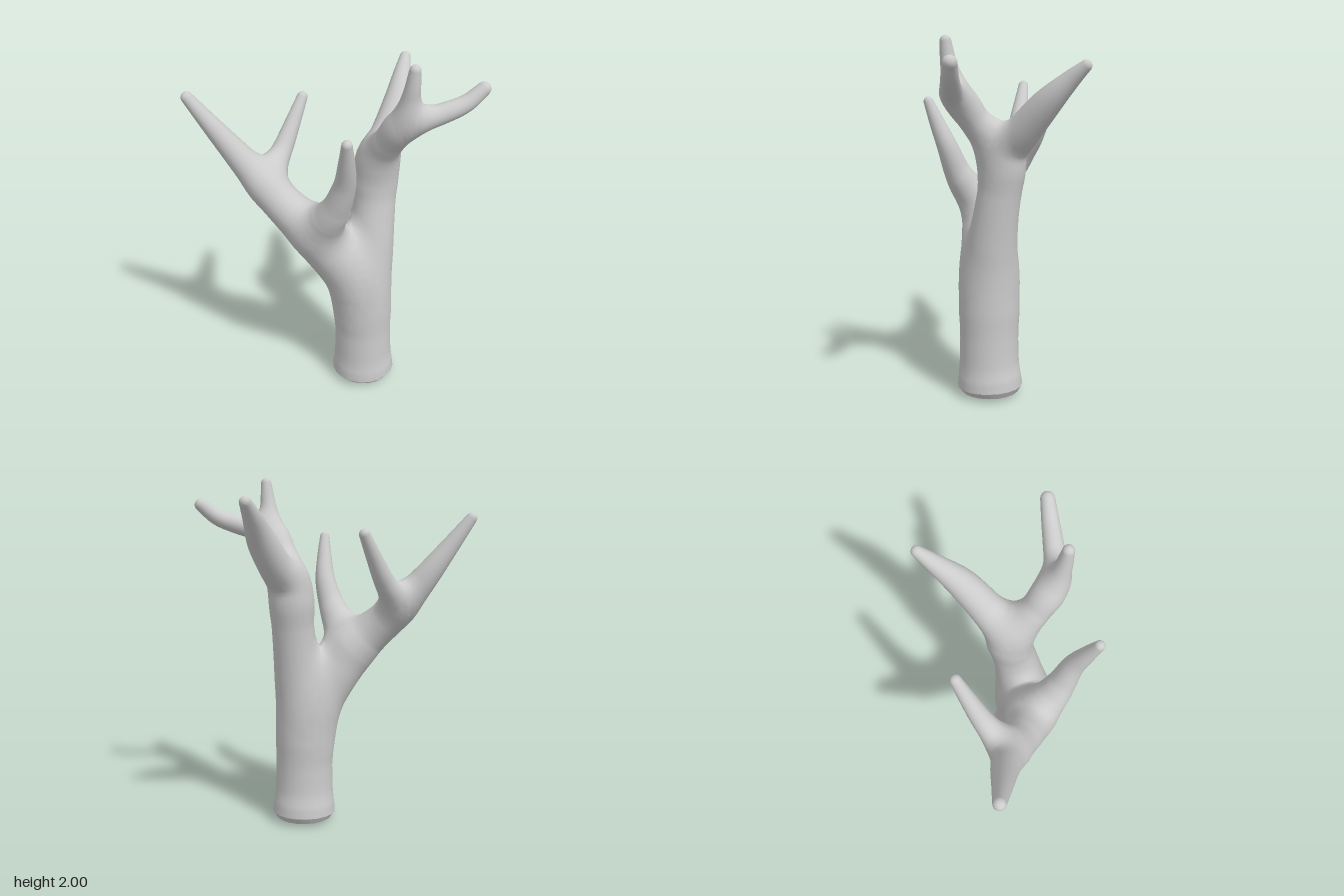
import * as THREE from 'three';
import { toCreasedNormals } from 'three/addons/utils/BufferGeometryUtils.js';

const SIDES = 20, RINGS = 44, BLEND = 0.11;

// Each limb is a list of stations along its centre line: x, y, z, radius
const LIMBS = {
  trunk: [
    [0.11, 0.05, -0.035, 0.186], [0.112, 0.2, -0.03, 0.17], [0.11, 0.45, -0.03, 0.164], [0.11, 0.65, -0.04, 0.155],
    [0.115, 0.85, -0.065, 0.142], [0.11, 1.05, -0.1, 0.125], [0.095, 1.25, -0.135, 0.118],
    [0.085, 1.4, -0.165, 0.112], [0.06, 1.5, -0.27, 0.095], [0.015, 1.64, -0.4, 0.08],
    [-0.05, 1.76, -0.51, 0.052], [-0.097, 1.838, -0.59, 0.031],
  ],
  upperLimb: [
    [0.1, 1.3, -0.12, 0.08], [0.16, 1.46, -0.1, 0.092], [0.25, 1.58, -0.08, 0.082], [0.335, 1.7, -0.072, 0.066],
    [0.38, 1.84, -0.066, 0.046], [0.4, 1.97, -0.064, 0.03],
  ],
  upperSideTine: [
    [0.31, 1.65, -0.08, 0.045], [0.4, 1.7, -0.13, 0.058], [0.465, 1.73, -0.22, 0.054],
    [0.53, 1.772, -0.32, 0.046], [0.578, 1.842, -0.4, 0.037],
  ],
  frontLimb: [
    [0.1, 0.5, -0.01, 0.12], [0.08, 0.68, 0.03, 0.145], [0.04, 0.83, 0.095, 0.15], [-0.03, 0.99, 0.19, 0.142],
    [-0.13, 1.11, 0.265, 0.118], [-0.28, 1.26, 0.335, 0.1], [-0.4, 1.43, 0.415, 0.076],
    [-0.5, 1.61, 0.51, 0.052], [-0.583, 1.765, 0.59, 0.032],
  ],
  frontUpTine: [
    [-0.29, 1.28, 0.33, 0.05], [-0.32, 1.34, 0.25, 0.068], [-0.335, 1.43, 0.16, 0.057],
    [-0.343, 1.56, 0.07, 0.043], [-0.348, 1.68, -0.008, 0.03],
  ],
  frontSideTine: [
    [-0.03, 1.04, 0.2, 0.09], [0.07, 1.14, 0.225, 0.098], [0.15, 1.25, 0.23, 0.078],
    [0.215, 1.4, 0.235, 0.06], [0.262, 1.54, 0.27, 0.044], [0.298, 1.662, 0.305, 0.028],
  ],
};

// Sample smooth centre line and radius
function sampleLimb(stations) {
  const path = new THREE.CatmullRomCurve3(stations.map(s => new THREE.Vector3(s[0], s[1], s[2])), false, 'catmullrom');
  const radii = new THREE.CatmullRomCurve3(stations.map(s => new THREE.Vector3(s[3], 0, 0)), false, 'catmullrom');
  const samples = [];
  for (let i = 0; i <= RINGS; i++) {
    const t = i / RINGS;
    samples.push({ p: path.getPoint(t), r: radii.getPoint(t).x, dir: path.getTangent(t) });
  }
  return samples;
}

// Distance from a point to one limb's skin
const ab = new THREE.Vector3(), ap = new THREE.Vector3();
function limbDistance(samples, p) {
  let best = Infinity;
  for (let i = 0; i < samples.length - 1; i++) {
    const a = samples[i], b = samples[i + 1];
    ab.subVectors(b.p, a.p);
    ap.subVectors(p, a.p);
    const t = THREE.MathUtils.clamp(ap.dot(ab) / ab.lengthSq(), 0, 1);
    best = Math.min(best, ap.addScaledVector(ab, -t).length() - THREE.MathUtils.lerp(a.r, b.r, t));
  }
  return best;
}

// Distance to all limbs together, with soft webs in the forks
function treeDistance(limbs, p) {
  let d = Infinity;
  for (const limb of limbs) {
    const e = limbDistance(limb, p);
    const h = Math.max(BLEND - Math.abs(d - e), 0);
    d = Math.min(d, e) - (h * h) / (4 * BLEND);
  }
  return d;
}

function outward(limbs, p) {
  const n = new THREE.Vector3(), q = new THREE.Vector3();
  for (const axis of ['x', 'y', 'z']) {
    q.copy(p)[axis] += 0.004;
    n[axis] = treeDistance(limbs, q);
    q[axis] -= 0.008;
    n[axis] -= treeDistance(limbs, q);
  }
  return n.normalize();
}

// Tapered tube with a round tip, its skin eased onto the shared soft surface
function limbGeometry(samples, limbs) {
  const rings = samples.slice();
  const end = samples[samples.length - 1];
  for (let k = 1; k <= 5; k++) {
    const a = (k / 5) * Math.PI * 0.495;
    rings.push({ p: end.p.clone().addScaledVector(end.dir, end.r * Math.sin(a)), r: end.r * Math.cos(a), dir: end.dir });
  }
  const positions = [], normals = [], index = [];
  const u = new THREE.Vector3(1, 0, 0), v = new THREE.Vector3();
  rings.forEach((ring, i) => {
    u.addScaledVector(ring.dir, -u.dot(ring.dir)).normalize();
    v.crossVectors(ring.dir, u);
    for (let j = 0; j < SIDES; j++) {
      const a = (j / SIDES) * Math.PI * 2;
      const p = ring.p.clone().addScaledVector(u, ring.r * Math.cos(a)).addScaledVector(v, ring.r * Math.sin(a));
      let n = outward(limbs, p);
      for (let step = 0; step < 2 && p.y > 0.2; step++) {
        const d = treeDistance(limbs, p);
        if (d < -0.06) break;
        p.addScaledVector(n, -d);
        n = outward(limbs, p);
      }
      positions.push(p.x, p.y, p.z);
      normals.push(n.x, n.y, n.z);
      if (i < rings.length - 1) {
        const j2 = (j + 1) % SIDES;
        const A = i * SIDES + j, B = i * SIDES + j2, C = A + SIDES, D = B + SIDES;
        index.push(A, B, C, B, D, C);
      }
    }
  });
  const geometry = new THREE.BufferGeometry();
  geometry.setAttribute('position', new THREE.Float32BufferAttribute(positions, 3));
  geometry.setAttribute('normal', new THREE.Float32BufferAttribute(normals, 3));
  geometry.setIndex(index);
  return geometry;
}

export function createModel() {
  const group = new THREE.Group();
  group.name = 'branchingTrunk';
  const material = new THREE.MeshStandardMaterial({ color: 0xcccccc });
  const add = (name, geometry) => {
    const mesh = new THREE.Mesh(geometry, material);
    mesh.name = name;
    group.add(mesh);
    return mesh;
  };

  // Trunk, limbs and tines
  const names = Object.keys(LIMBS);
  const limbs = names.map(name => sampleLimb(LIMBS[name]));
  names.forEach((name, i) => add(name, limbGeometry(limbs[i], limbs)));

  // Bevelled cut end at the foot
  const profile = [[0, 0], [0.1, 0.005], [0.165, 0.02], [0.186, 0.055]].map(([r, y]) => new THREE.Vector2(r, y));
  const foot = add('cutBase', toCreasedNormals(new THREE.LatheGeometry(profile, SIDES), 0.6));
  foot.position.set(0.11, 0, -0.035);

  return group;
}
